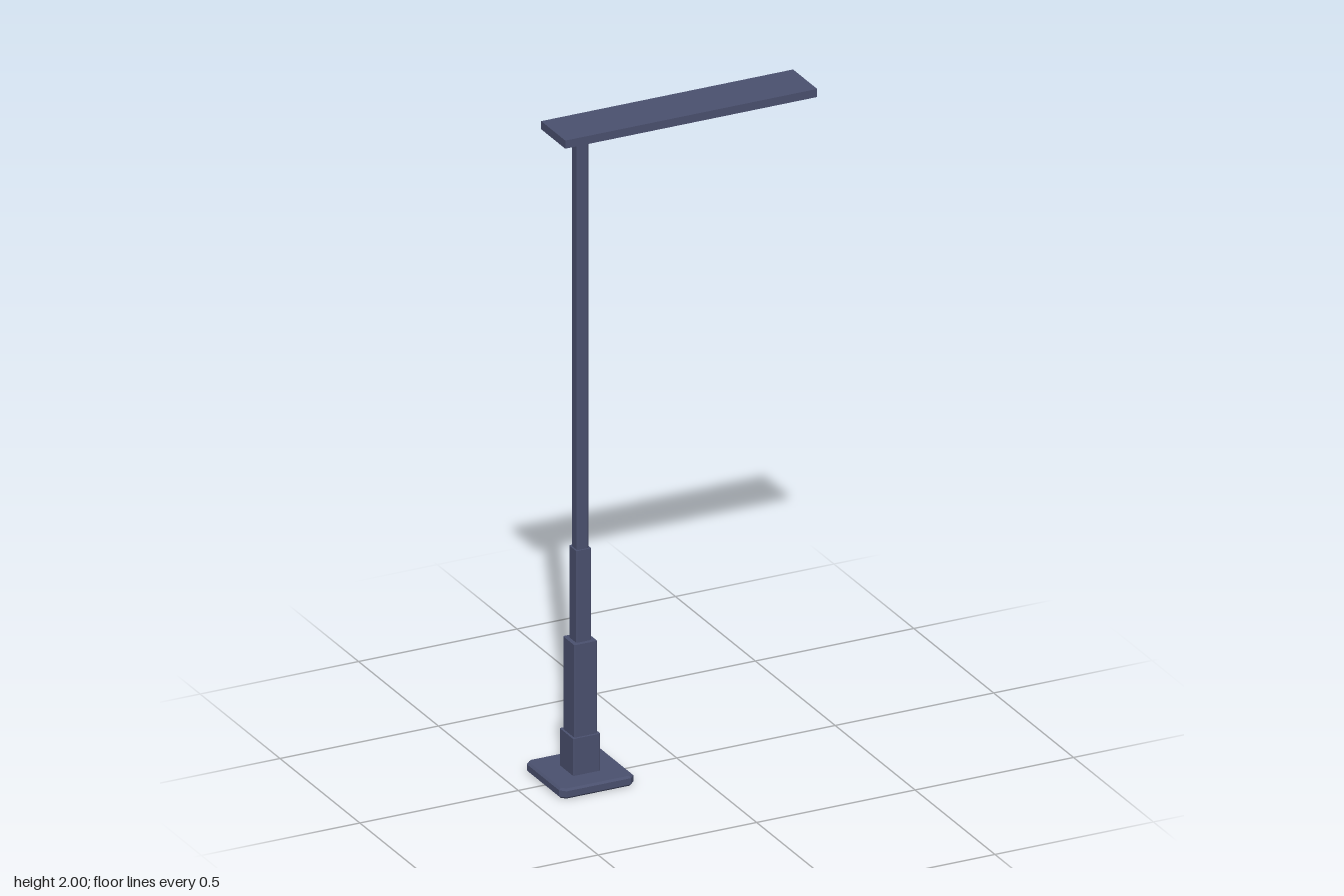
import * as THREE from 'three';

const navy = new THREE.MeshStandardMaterial({ color: 0x4a506e });
navy.name = 'navy metal';
const cream = new THREE.MeshStandardMaterial({ color: 0xd0ccb4 });
cream.name = 'cream lens';

export function createModel() {
  const model = new THREE.Group();
  model.name = 'streetLamp';
  const poleX = -0.305;

  const add = (name, geometry, material) => {
    const mesh = new THREE.Mesh(geometry, material);
    mesh.name = name;
    model.add(mesh);
    return mesh;
  };

  // Box given by its limits on each axis
  const box = (name, [x0, x1], [y0, y1], [z0, z1], material = navy) => {
    const geometry = new THREE.BoxGeometry(x1 - x0, y1 - y0, z1 - z0);
    geometry.translate((x0 + x1) / 2, (y0 + y1) / 2, (z0 + z1) / 2);
    return add(name, geometry, material);
  };

  // Upright square prism with cut corners, centred on the pole
  const post = (name, half, cut, y0, y1, bevel = 0) => {
    const h = half - bevel, c = h - cut;
    const shape = new THREE.Shape([
      [h, -c], [h, c], [c, h], [-c, h], [-h, c], [-h, -c], [-c, -h], [c, -h],
    ].map(([x, y]) => new THREE.Vector2(x, y)));
    const geometry = new THREE.ExtrudeGeometry(shape, {
      depth: y1 - y0 - 2 * bevel, bevelEnabled: bevel > 0,
      bevelSize: bevel, bevelThickness: bevel, bevelSegments: 1,
    });
    geometry.rotateX(-Math.PI / 2);
    geometry.translate(poleX, y0 + bevel, 0);
    return add(name, geometry, navy);
  };

  // Foot and stepped pole
  post('basePlate', 0.117, 0.012, 0, 0.031, 0.006);
  post('poleFoot', 0.043, 0.003, 0.03, 0.145);
  post('lowerSleeve', 0.036, 0.003, 0.145, 0.43);
  post('upperSleeve', 0.0235, 0.003, 0.43, 0.713);
  post('pole', 0.0185, 0.004, 0.713, 1.975);

  // Flat lamp head
  box('lampHead', [-0.377, 0.418], [1.975, 2], [-0.101, 0.05]);
  box('driverCover', [-0.29, -0.04], [1.967, 1.975], [-0.065, 0.015]);
  box('lightPanel', [-0.01, 0.39], [1.966, 1.975], [-0.065, 0.015], cream);

  // Row of small lights beside the panel
  for (let i = 0; i < 16; i++) {
    const x = -0.005 + i * 0.026;
    box('smallLight', [x - 0.005, x + 0.005], [1.972, 1.975], [-0.086, -0.078], cream);
  }
  return model;
}
